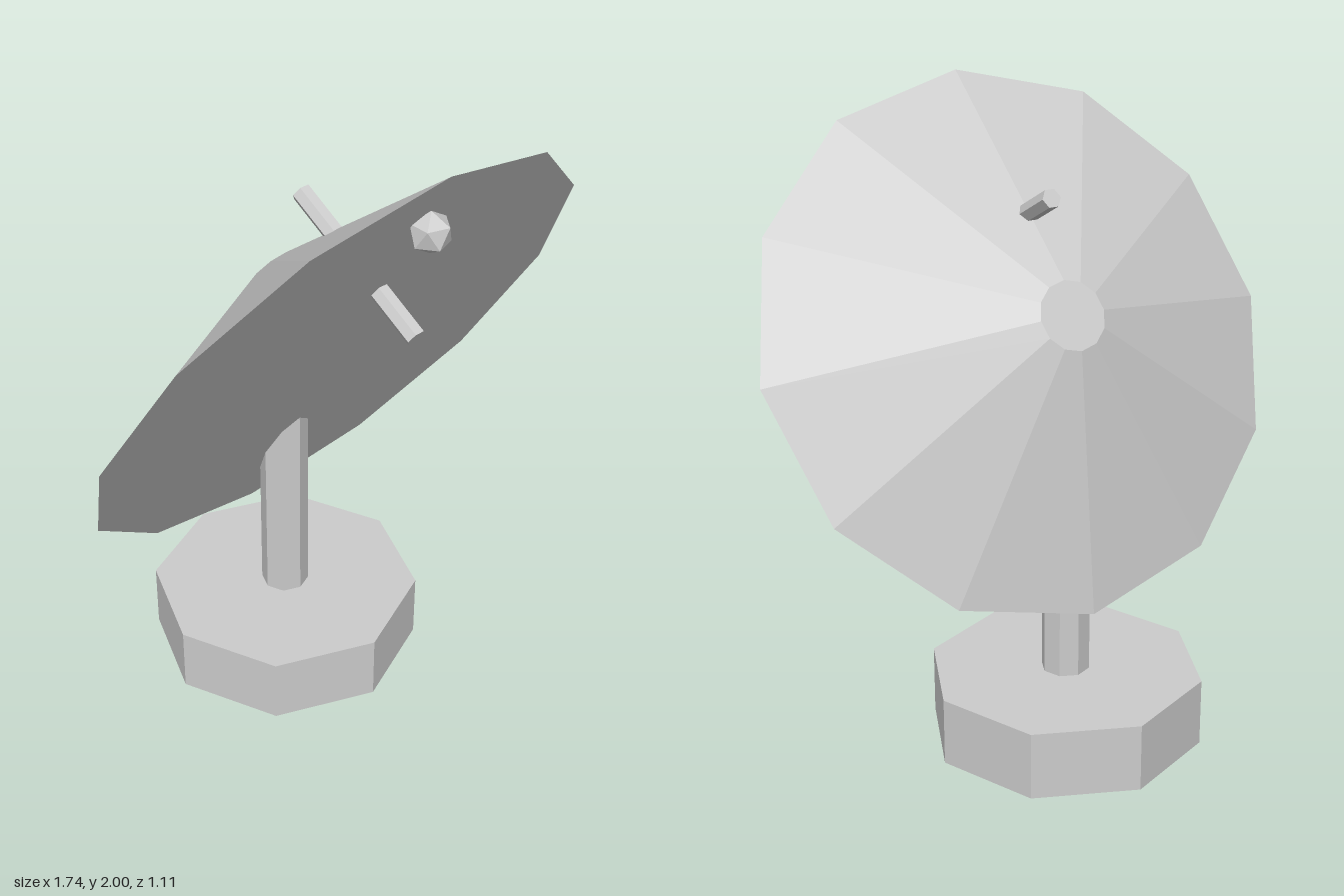
import * as THREE from 'three';

const grey = new THREE.MeshStandardMaterial({ color: 0xcccccc });
grey.name = 'lightGrey';
grey.flatShading = true;

const TILT = 0.5 - Math.PI / 2; // swings the y axis up and towards the back

export function createModel() {
  const model = new THREE.Group();
  model.name = 'dishAntenna';

  const add = (name, geometry, y, z, tilt = 0) => {
    const mesh = new THREE.Mesh(geometry, grey);
    mesh.name = name;
    mesh.position.set(0, y, z);
    mesh.rotation.x = tilt;
    model.add(mesh);
  };

  // Octagonal foot and post
  add('base', new THREE.CylinderGeometry(0.437, 0.437, 0.22, 8), 0.11, -0.117);
  add('post', new THREE.CylinderGeometry(0.077, 0.077, 0.9, 8), 0.66, -0.117);

  // Closed twelve-sided dish, wide face to the front
  add('dish', new THREE.CylinderGeometry(0.108, 0.87, 0.325, 12), 1.315, -0.008, TILT);

  // Hexagonal rod through the dish
  const rod = new THREE.CylinderGeometry(0.031, 0.031, 0.547, 6).rotateY(Math.PI / 6);
  add('feedRod', rod, 1.586, 0.21, TILT);

  // Receiver ball, standing on one corner
  const ball = new THREE.IcosahedronGeometry(0.064, 0).rotateZ(-0.5536);
  add('receiver', ball, 1.809, 0.486);

  return model;
}
